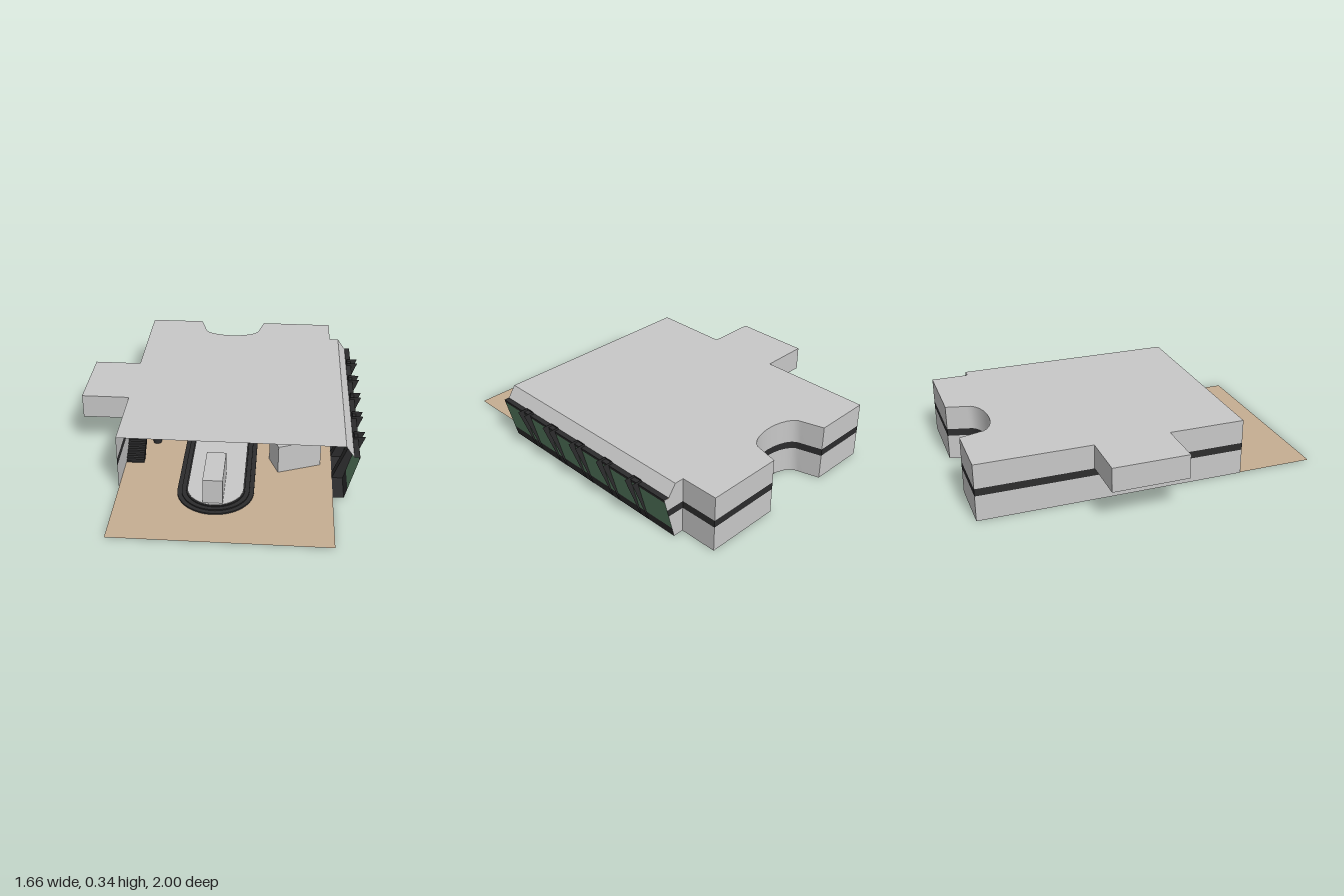
import * as THREE from 'three';
import { toCreasedNormals } from 'three/addons/utils/BufferGeometryUtils.js';

const mat = (name, color) => {
  const m = new THREE.MeshStandardMaterial({ color, side: THREE.DoubleSide });
  m.name = name;
  return m;
};

export function createModel() {
  const grey = mat('lightGreyWall', 0xc8c8c8);
  const dark = mat('darkTrim', 0x2c2c2d);
  const tan = mat('tanFloor', 0xc6ae92);
  const green = mat('greenGlass', 0x5c8467);
  const root = new THREE.Group();

  const add = (name, geometry, material, parent = root) => {
    const m = new THREE.Mesh(geometry, material);
    m.name = name;
    parent.add(m);
    return m;
  };
  const box = (name, material, x0, x1, y0, y1, z0, z1, parent) => {
    const m = add(name, new THREE.BoxGeometry(x1 - x0, y1 - y0, z1 - z0), material, parent);
    m.position.set((x0 + x1) / 2, (y0 + y1) / 2, (z0 + z1) / 2);
    return m;
  };
  const toShape = pts => new THREE.Shape(pts.map(p => new THREE.Vector2(p[0], p[1])));
  // horizontal sheet from an (x, z) outline
  const sheet = (name, pts, y, material) =>
    add(name, new THREE.ShapeGeometry(toShape(pts)).rotateX(Math.PI / 2).translate(0, y, 0), material);
  // upright sheet from an (x, y) outline
  const plate = (name, pts, z, material, parent) =>
    add(name, new THREE.ShapeGeometry(toShape(pts)).translate(0, 0, z), material, parent);
  // surface between two matching rows of points
  const loft = (name, a, b, material, parent) => {
    const pos = [];
    for (let i = 0; i < a.length - 1; i++)
      pos.push(...a[i], ...a[i + 1], ...b[i + 1], ...a[i], ...b[i + 1], ...b[i]);
    const g = new THREE.BufferGeometry();
    g.setAttribute('position', new THREE.Float32BufferAttribute(pos, 3));
    g.computeVertexNormals();
    return add(name, toCreasedNormals(g, 0.6), material, parent);
  };
  const wall = (name, path, y0, y1, material) =>
    loft(name, path.map(p => [p[0], y0, p[1]]), path.map(p => [p[0], y1, p[1]]), material);

  const H = 0.335, ZF = 0.55, ZB = -0.78, FLOOR = 0.003;

  // rounded bay cut into the back wall
  const bay = [[-0.215, -1], [-0.18, -0.88]];
  for (let i = 1; i < 12; i++) {
    const t = Math.PI * (1 - i / 12);
    bay.push([0.18 * Math.cos(t), -0.88 + 0.09 * Math.sin(t)]);
  }
  bay.push([0.18, -0.88], [0.21, -1]);
  const back = [[-0.55, -1], ...bay, [0.655, -1], [0.655, ZB]];
  const alcove = [[-0.55, ZF], [-0.55, 0.1], [-0.83, 0.1], [-0.83, -0.34], [-0.55, -0.34]];

  // shell
  sheet('floor', [[-0.55, 1], ...back.slice(0, -1), [0.655, 1]], FLOOR, tan);
  wall('lowerWall', [[-0.55, ZF], ...back], 0, 0.15, grey);
  wall('wallStripe', [[-0.55, ZF], ...back], 0.15, 0.193, dark);
  wall('upperWall', [...alcove, ...back], 0.193, H, grey);
  sheet('alcoveFloor', alcove.slice(1), 0.194, grey);
  sheet('roof', [...alcove, ...back, [0.71, ZB], [0.71, ZF]], H, grey);

  // leaning window wall
  const winX = y => 0.716 + 0.072 * y / 0.27;
  const strip = (name, x0, y0, x1, y1, material) =>
    loft(name, [[x0, y0, ZB], [x0, y0, ZF]], [[x1, y1, ZB], [x1, y1, ZF]], material);
  const slope = (name, y0, y1, material) => strip(name, winX(y0), y0, winX(y1), y1, material);
  slope('windowSill', 0, 0.06, dark);
  slope('windowGlass', 0.06, 0.25, green);
  slope('windowHead', 0.25, 0.27, dark);
  strip('windowHeadTop', 0.757, 0.27, winX(0.27), 0.27, dark);
  strip('windowBase', 0.655, 0, winX(0), 0, dark);
  strip('roofBevel', 0.71, H, 0.757, 0.268, grey);

  // end wall behind the windows
  plate('endWallLower', [[0.655, 0], [winX(0), 0], [winX(0.15), 0.15], [0.655, 0.15]], ZB, grey);
  plate('endWallStripe', [[0.655, 0.15], [winX(0.15), 0.15], [winX(0.193), 0.193], [0.655, 0.193]], ZB, dark);
  plate('endWallUpper', [[0.655, 0.193], [winX(0.193), 0.193], [winX(0.27), 0.27], [0.757, 0.268], [0.71, H], [0.655, H]], ZB, grey);

  // window fins: two side plates and an inner plate each
  const finSide = [[0.655, 0.003], [0.72, 0.003], [0.828, 0.285], [0.765, 0.285]];
  for (let i = 0; i < 5; i++) {
    const z = 0.333 - i * 0.224, w = 0.028;
    const fin = new THREE.Group();
    fin.name = 'windowFin' + (i + 1);
    root.add(fin);
    for (const s of [-1, 1]) plate('finSide', finSide, z + s * w, dark, fin);
    loft('finBack', [[0.655, 0.003, z - w], [0.655, 0.003, z + w]],
      [[0.765, 0.285, z - w], [0.765, 0.285, z + w]], dark, fin);
  }

  // round-ended walkway
  const walkway = (name, r, top, material) => {
    const s = new THREE.Shape();
    s.moveTo(r, -0.79);
    s.lineTo(r, ZF);
    s.absarc(0, ZF, r, 0, Math.PI, false);
    s.lineTo(-r, -0.79);
    const g = new THREE.ExtrudeGeometry(s, { depth: top - 0.004, bevelEnabled: false, curveSegments: 28 });
    add(name, toCreasedNormals(g.rotateX(Math.PI / 2).translate(0, top, 0), 0.6), material);
  };
  walkway('walkwayEdge', 0.215, 0.012, dark);
  walkway('walkwayStep', 0.19, 0.019, dark);
  walkway('walkwayRim', 0.165, 0.025, dark);
  walkway('walkwayTop', 0.155, 0.027, grey);
  box('walkwayUnderside', grey, -0.175, 0.175, 0, 0.002, -0.8, ZF);
  for (const s of [-1, 1])
    box('walkwayUndersideEdge', dark, s * 0.193 - 0.018, s * 0.193 + 0.018, 0, 0.002, -0.8, ZF);

  // furniture
  box('pedestal', grey, -0.06, 0.05, 0.02, 0.175, 0.41, 0.69);
  const desk = box('sideConsole', grey, -0.132, 0.132, FLOOR, 0.175, -0.075, 0.075);
  desk.position.x = 0.44;
  desk.position.z = 0.212;
  desk.rotation.y = 0.377;

  // stairs up to the alcove
  const stairs = new THREE.Group();
  stairs.name = 'stairs';
  root.add(stairs);
  const N = 14, rise = 0.19 / N, run = 0.25 / N;
  for (let i = 0; i < N; i++) {
    const z = 0.29 - i * run;
    box('step', dark, -0.548, -0.445, Math.max(FLOOR, (i - 2) * rise), (i + 1) * rise, z - run, z, stairs);
  }
  for (const x of [-0.443, -0.39]) box('railPost', dark, x - 0.004, x + 0.004, FLOOR, 0.21, 0, 0.01, stairs);
  box('railTop', dark, -0.447, -0.386, 0.208, 0.245, -0.01, 0.02, stairs);
  const stool = add('stool', new THREE.CylinderGeometry(0.025, 0.025, 0.057, 16), dark);
  stool.position.set(-0.397, 0.0315, 0.05);

  return root;
}
